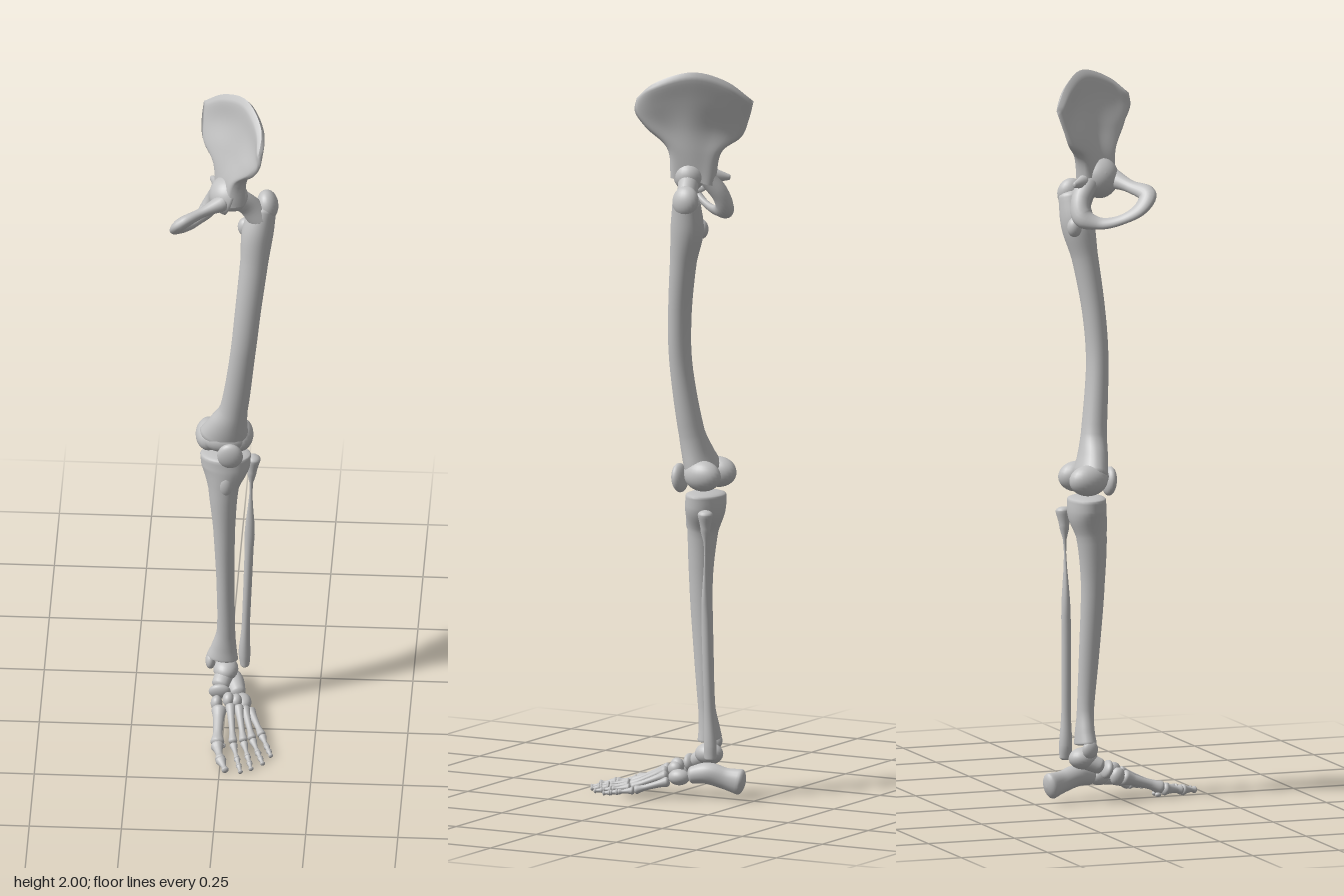
import * as THREE from 'three';

const boneMat = new THREE.MeshStandardMaterial({ color: 0xc2c2c2, side: THREE.DoubleSide });
boneMat.name = 'bone grey';

const V = (p) => new THREE.Vector3(p[0], p[1], p[2]);

// Smooth closed skin over a list of rings with equal point counts
function skin(rings) {
  const n = rings[0].length, pos = [], idx = [];
  rings.forEach((r) => r.forEach((p) => pos.push(p.x, p.y, p.z)));
  for (let i = 0; i < rings.length - 1; i++) {
    for (let j = 0; j < n; j++) {
      const a = i * n + j, b = i * n + (j + 1) % n;
      idx.push(a, b, a + n, b, b + n, a + n);
    }
  }
  const g = new THREE.BufferGeometry();
  g.setAttribute('position', new THREE.Float32BufferAttribute(pos, 3));
  g.setIndex(idx);
  g.computeVertexNormals();
  return g;
}

function add(parent, name, geo) {
  const m = new THREE.Mesh(geo, boneMat);
  m.name = name;
  parent.add(m);
  return m;
}

// Elliptical loft along points [x, y, z, side radius, other radius], rounded ends
function loft(parent, name, pts, { cap = 0.6, ref = [1, 0, 0], n = 20 } = {}) {
  const path = new THREE.CatmullRomCurve3(pts.map(V));
  const radii = new THREE.CatmullRomCurve3(pts.map((p) => new THREE.Vector3(p[3], p[4] ?? p[3], 0)));
  const rings = [], steps = (pts.length - 1) * 6, K = 5;
  const ring = (t, scale, shift) => {
    const c = path.getPoint(t), r = radii.getPoint(t), tan = path.getTangent(t);
    const s = V(ref).addScaledVector(tan, -V(ref).dot(tan)).normalize();
    const f = new THREE.Vector3().crossVectors(tan, s);
    c.addScaledVector(tan, shift * cap * Math.min(r.x, r.y));
    rings.push(Array.from({ length: n }, (_, j) => {
      const a = (j / n) * Math.PI * 2;
      return c.clone().addScaledVector(s, Math.cos(a) * r.x * scale)
        .addScaledVector(f, Math.sin(a) * r.y * scale);
    }));
  };
  for (let k = K; k > 0; k--) ring(0, Math.cos(k / K * Math.PI / 2) + 0.001, -Math.sin(k / K * Math.PI / 2));
  for (let i = 0; i <= steps; i++) ring(i / steps, 1, 0);
  for (let k = 1; k <= K; k++) ring(1, Math.cos(k / K * Math.PI / 2) + 0.001, Math.sin(k / K * Math.PI / 2));
  return add(parent, name, skin(rings));
}

function blob(parent, name, c, r, rot = [0, 0, 0]) {
  const m = add(parent, name, new THREE.SphereGeometry(1, 24, 16));
  m.position.set(...c);
  m.scale.set(...r);
  m.rotation.set(...rot);
  return m;
}

// Curved plate: each row runs front to back, rows rise from bottom to top
function plate(parent, name, rows, thick) {
  const cols = rows[0].map((_, j) => new THREE.CatmullRomCurve3(rows.map((r) => V(r[j]))));
  const th = new THREE.CatmullRomCurve3(thick.map((t, i) => new THREE.Vector3(t, i, 0)));
  const rings = [], NV = 30, NU = 28, up = new THREE.Vector3(0, 1, 0);
  for (let i = 0; i <= NV; i++) {
    const v = i / NV, row = new THREE.CatmullRomCurve3(cols.map((c) => c.getPoint(v)));
    const edge = Math.sqrt(Math.max(0, 1 - Math.pow(v, 24)));
    const out = [], back = [];
    for (let j = 0; j <= NU; j++) {
      const u = j / NU, p = row.getPoint(u);
      const nrm = row.getTangent(u).cross(up).normalize();
      const t = th.getPoint(v).x * edge * Math.sqrt(Math.max(0, 1 - Math.pow(2 * u - 1, 6)));
      out.push(p.clone().addScaledVector(nrm, t));
      if (j > 0 && j < NU) back.unshift(p.clone().addScaledVector(nrm, -t));
    }
    rings.push([...out, ...back]);
  }
  return add(parent, name, skin(rings));
}

function group(parent, name) {
  const g = new THREE.Group();
  g.name = name;
  parent.add(g);
  return g;
}

function buildPelvis(root) {
  const g = group(root, 'hipBone');
  plate(g, 'iliumBlade', [
    [[0.03, 1.70, -0.01], [0.025, 1.70, -0.035], [0.015, 1.70, -0.06], [0, 1.69, -0.09], [-0.01, 1.68, -0.125]],
    [[0.045, 1.78, -0.005], [0.035, 1.775, -0.035], [0.02, 1.77, -0.07], [0, 1.77, -0.1], [-0.025, 1.77, -0.135]],
    [[0.085, 1.84, 0.04], [0.06, 1.84, -0.01], [0.035, 1.84, -0.07], [-0.01, 1.83, -0.12], [-0.065, 1.81, -0.175]],
    [[0.1, 1.885, 0.065], [0.09, 1.9, 0.01], [0.05, 1.92, -0.08], [0, 1.9, -0.14], [-0.07, 1.86, -0.195]],
    [[0.098, 1.92, 0.06], [0.103, 1.965, 0.005], [0.06, 1.998, -0.09], [-0.005, 1.97, -0.16], [-0.065, 1.91, -0.212]],
  ], [0.03, 0.025, 0.014, 0.009, 0.014]);

  // Hip socket opening outward and slightly down
  const profile = [];
  for (let i = 0; i <= 12; i++) {
    const a = i / 12 * 1.55;
    profile.push(new THREE.Vector2(Math.sin(a) * 0.058, -Math.cos(a) * 0.058));
  }
  for (let i = 12; i >= 0; i--) {
    const a = i / 12 * 1.55;
    profile.push(new THREE.Vector2(Math.sin(a) * 0.046, -Math.cos(a) * 0.046));
  }
  const cup = add(g, 'hipSocket', new THREE.LatheGeometry(profile, 32));
  cup.position.set(0.016, 1.708, -0.062);
  cup.rotation.set(0.2, 0, -Math.PI / 2 - 0.35);

  // Ring of pubis and ischium around the lower opening
  loft(g, 'pubisAndIschium', [
    [-0.005, 1.705, -0.025, 0.024, 0.028], [-0.06, 1.69, 0.005, 0.014, 0.018],
    [-0.112, 1.673, 0.034, 0.017, 0.025], [-0.125, 1.64, 0.01, 0.013, 0.022],
    [-0.105, 1.608, -0.04, 0.01, 0.016], [-0.078, 1.597, -0.09, 0.012, 0.018],
    [-0.05, 1.612, -0.13, 0.023, 0.028], [-0.03, 1.65, -0.13, 0.024, 0.026],
    [-0.01, 1.7, -0.1, 0.026, 0.03],
  ], { ref: [0.5, -0.69, 0.54] });
  loft(g, 'ischialSpine', [[-0.02, 1.705, -0.115, 0.016, 0.02], [-0.04, 1.7, -0.15, 0.006, 0.008]]);
}

function buildThigh(root) {
  const g = group(root, 'femur');
  loft(g, 'femurShaft', [
    [0.105, 1.645, -0.1, 0.034, 0.04], [0.088, 1.57, -0.092, 0.043, 0.046],
    [0.079, 1.48, -0.075, 0.038, 0.036], [0.063, 1.33, -0.055, 0.035, 0.031],
    [0.05, 1.2, -0.05, 0.034, 0.03], [0.024, 1.0, -0.07, 0.038, 0.035],
    [0.008, 0.94, -0.08, 0.055, 0.04], [-0.003, 0.9, -0.09, 0.068, 0.044],
  ], { n: 28 });
  blob(g, 'femurHead', [0.02, 1.705, -0.06], [0.043, 0.043, 0.043]);
  loft(g, 'femurNeck', [[0.025, 1.7, -0.062, 0.03], [0.06, 1.668, -0.077, 0.027, 0.03], [0.095, 1.62, -0.09, 0.036]], { ref: [0, 0, 1] });
  blob(g, 'greaterTrochanter', [0.114, 1.652, -0.102], [0.029, 0.042, 0.038], [0, 0, 0.15]);
  blob(g, 'lesserTrochanter', [0.052, 1.568, -0.115], [0.02, 0.027, 0.02]);
  for (const x of [-0.046, 0.039]) blob(g, 'femurCondyle', [x, 0.887, -0.112], [0.036, 0.042, 0.054]);
  blob(g, 'kneeGroove', [-0.003, 0.893, -0.077], [0.058, 0.036, 0.034]);
  blob(g, 'patella', [0.016, 0.872, -0.028], [0.035, 0.04, 0.018], [0.1, 0, 0]);
}

function buildShin(root) {
  const g = group(root, 'lowerLeg');
  loft(g, 'tibia', [
    [0, 0.83, -0.1, 0.069, 0.05], [0, 0.795, -0.099, 0.066, 0.052],
    [-0.005, 0.73, -0.088, 0.042, 0.042], [-0.003, 0.6, -0.083, 0.03, 0.033],
    [0, 0.4, -0.093, 0.024, 0.028], [0.001, 0.25, -0.103, 0.025, 0.023],
    [-0.005, 0.19, -0.107, 0.035, 0.026], [-0.009, 0.16, -0.107, 0.043, 0.029],
  ], { cap: 0.2, n: 28 });
  blob(g, 'tibialTuberosity', [0.002, 0.755, -0.058], [0.02, 0.035, 0.016]);
  blob(g, 'innerAnkle', [-0.041, 0.148, -0.105], [0.014, 0.025, 0.022]);
  loft(g, 'fibula', [
    [0.073, 0.788, -0.14, 0.02, 0.021], [0.069, 0.74, -0.138, 0.012, 0.013],
    [0.062, 0.5, -0.136, 0.012, 0.013], [0.053, 0.25, -0.139, 0.011, 0.013],
    [0.049, 0.15, -0.142, 0.016, 0.018], [0.05, 0.115, -0.142, 0.013, 0.017],
  ]);
}

// Long toe bone with a narrow waist between two points
function toeBone(g, name, a, b, r0, r1) {
  const at = (t, r) => [...V(a).lerp(V(b), t).toArray(), r];
  loft(g, name, [at(0.06, r0), at(0.28, r0 * 0.72), at(0.68, r1 * 0.68), at(0.93, r1)], { n: 14 });
}

function buildFoot(root) {
  const g = group(root, 'foot');
  loft(g, 'heelBone', [
    [-0.002, 0.048, -0.204, 0.027, 0.036], [0.01, 0.056, -0.165, 0.022, 0.03],
    [0.022, 0.068, -0.12, 0.027, 0.03], [0.034, 0.062, -0.078, 0.022, 0.024],
  ]);
  blob(g, 'ankleBone', [0, 0.118, -0.11], [0.034, 0.03, 0.04]);
  loft(g, 'ankleBoneHead', [[-0.002, 0.11, -0.1, 0.026, 0.024], [-0.012, 0.096, -0.068, 0.024, 0.022]]);
  blob(g, 'navicular', [-0.013, 0.086, -0.046], [0.03, 0.026, 0.014], [0.3, 0, 0]);
  blob(g, 'cuboid', [0.05, 0.055, -0.045], [0.023, 0.022, 0.03], [0, 0.2, 0]);
  const wedges = [[-0.02, 0.066, -0.018, 0.025], [0.012, 0.08, -0.018, 0.021], [0.033, 0.073, -0.022, 0.02]];
  for (const [x, y, z, h] of wedges) blob(g, 'cuneiform', [x, y, z], [0.016, h, 0.02], [0.3, 0, 0]);

  // Big toe
  toeBone(g, 'metatarsal', [-0.012, 0.062, 0], [-0.011, 0.024, 0.116], 0.021, 0.019);
  toeBone(g, 'toePhalanx', [-0.011, 0.022, 0.12], [0.001, 0.015, 0.175], 0.018, 0.014);
  toeBone(g, 'toePhalanx', [0.002, 0.014, 0.178], [0.017, 0.01, 0.221], 0.015, 0.01);
  for (const x of [-0.02, 0.004]) blob(g, 'sesamoid', [x, 0.009, 0.1], [0.007, 0.007, 0.009]);

  // Smaller toes: metatarsal base, knuckle, tip
  const toes = [
    [[0.018, 0.076, 0], [0.032, 0.026, 0.115], [0.058, 0.008, 0.224]],
    [[0.04, 0.07, -0.004], [0.06, 0.023, 0.102], [0.086, 0.008, 0.208]],
    [[0.056, 0.06, -0.012], [0.083, 0.021, 0.086], [0.116, 0.008, 0.181]],
    [[0.07, 0.045, -0.024], [0.108, 0.018, 0.062], [0.136, 0.008, 0.142]],
  ];
  for (const [base, knuckle, tip] of toes) {
    toeBone(g, 'metatarsal', base, knuckle, 0.014, 0.012);
    const at = (t) => V(knuckle).lerp(V(tip), t).toArray();
    toeBone(g, 'toePhalanx', at(0.04), at(0.52), 0.011, 0.008);
    toeBone(g, 'toePhalanx', at(0.55), at(0.76), 0.009, 0.008);
    toeBone(g, 'toePhalanx', at(0.79), at(1), 0.008, 0.007);
  }
}

export function createModel() {
  const root = new THREE.Group();
  root.name = 'legSkeleton';
  buildPelvis(root);
  buildThigh(root);
  buildShin(root);
  buildFoot(root);
  return root;
}
